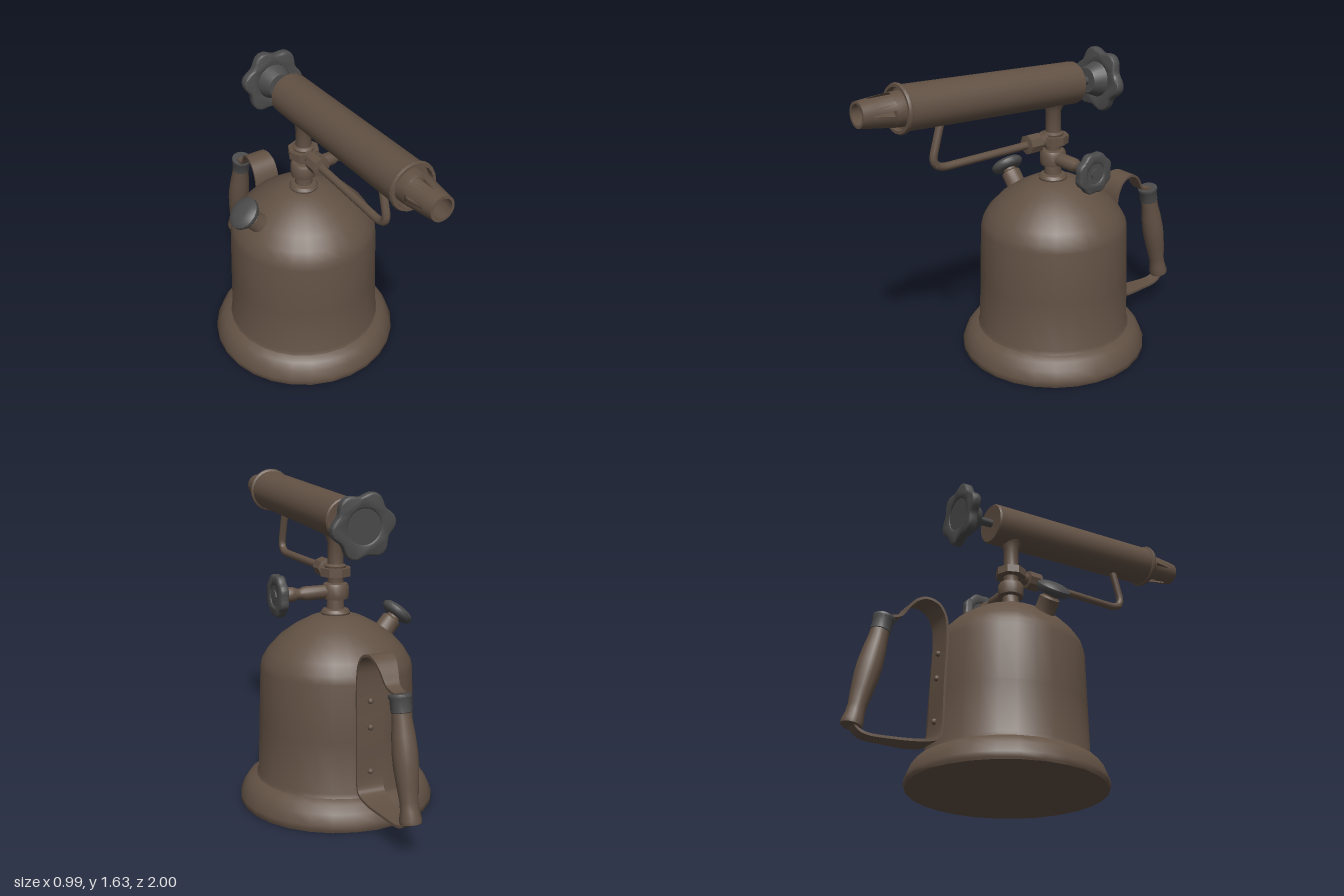
import * as THREE from 'three';
import { toCreasedNormals } from 'three/addons/utils/BufferGeometryUtils.js';

const brown = new THREE.MeshStandardMaterial({ color: 0x625144, side: THREE.DoubleSide });
brown.name = 'aged brass';
const grey = new THREE.MeshStandardMaterial({ color: 0x4b4b4b });
grey.name = 'dark iron';

const TANK_Z = -0.125;
const V = (x, y, z) => new THREE.Vector3(x, y, z);

function add(parent, name, geometry, material = brown, crease = 0.65) {
  const mesh = new THREE.Mesh(toCreasedNormals(geometry, crease), material);
  mesh.name = name;
  parent.add(mesh);
  return mesh;
}

// Turned part: profile of [radius, height] pairs, bottom to top
const turned = (profile, sides = 16) =>
  new THREE.LatheGeometry(profile.map(([r, y]) => new THREE.Vector2(r, y)), sides);

// Group whose local +y runs along a direction
function axisGroup(parent, name, position, direction) {
  const g = new THREE.Group();
  g.name = name;
  g.position.copy(position);
  g.quaternion.setFromUnitVectors(V(0, 1, 0), direction.clone().normalize());
  parent.add(g);
  return g;
}

// Lobed hand wheel lying in the local xz plane, with a grooved centre disc
function handWheel(parent, name, radius, lobes, wave, thickness, groove, phase) {
  const pts = [];
  for (let i = 0; i < lobes * 8; i++) {
    const a = (i / (lobes * 8)) * Math.PI * 2;
    const r = radius - wave - 0.01 + wave * Math.cos(lobes * a);
    pts.push(new THREE.Vector2(r * Math.cos(a + phase), r * Math.sin(a + phase)));
  }
  const shape = new THREE.Shape(pts);
  shape.holes.push(new THREE.Path().absarc(0, 0, groove, 0, Math.PI * 2, true));
  const rim = new THREE.ExtrudeGeometry(shape, {
    depth: thickness - 0.02, bevelThickness: 0.01, bevelSize: 0.01, bevelSegments: 2, curveSegments: 12,
  });
  rim.rotateX(-Math.PI / 2);
  rim.translate(0, 0.01, 0);
  add(parent, name, rim, grey, 0.8);
  const disc = new THREE.CylinderGeometry(groove, groove, thickness - 0.012, 24);
  disc.translate(0, thickness / 2, 0);
  add(parent, name + 'Centre', disc, grey);
}

// Flat strap swept in the yz plane; each point is [z, y, half width]
function strapGeometry(points, thickness, steps) {
  const curve = new THREE.CatmullRomCurve3(points.map(([z, y, w]) => V(w, y, z)), false, 'centripetal');
  const pos = [], index = [];
  for (let i = 0; i <= steps; i++) {
    const p = curve.getPoint(i / steps);
    const t = curve.getTangent(i / steps).setX(0).normalize();
    const ny = (-t.z * thickness) / 2, nz = (t.y * thickness) / 2;
    for (const [sx, sn] of [[-1, -1], [1, -1], [1, 1], [-1, 1]])
      pos.push(sx * p.x, p.y + sn * ny, p.z + sn * nz);
    if (i < steps) for (let k = 0; k < 4; k++) {
      const a = i * 4 + k, b = i * 4 + ((k + 1) % 4);
      index.push(a, b, a + 4, b, b + 4, a + 4);
    }
  }
  const e = steps * 4;
  index.push(0, 2, 1, 0, 3, 2, e, e + 1, e + 2, e, e + 2, e + 3);
  const g = new THREE.BufferGeometry();
  g.setAttribute('position', new THREE.Float32BufferAttribute(pos, 3));
  g.setIndex(index);
  g.computeVertexNormals();
  return g;
}

// Tapered sleeve in four panels, leaving wedge slots between; rows are [radius, y, half gap angle]
function slottedSleeve(rows) {
  const pos = [], index = [], n = 6;
  for (let q = 0; q < 4; q++) {
    const base = pos.length / 3;
    rows.forEach(([r, y, gap], j) => {
      for (let i = 0; i <= n; i++) {
        const a = (q * Math.PI) / 2 + gap + (i / n) * (Math.PI / 2 - 2 * gap);
        pos.push(r * Math.sin(a), y, r * Math.cos(a));
        if (j && i) {
          const d = base + j * (n + 1) + i, c = d - n - 1;
          index.push(c - 1, c, d - 1, c, d, d - 1);
        }
      }
    });
  }
  const g = new THREE.BufferGeometry();
  g.setAttribute('position', new THREE.Float32BufferAttribute(pos, 3));
  g.setIndex(index);
  g.computeVertexNormals();
  return g;
}

export function createModel() {
  const model = new THREE.Group();
  model.name = 'blowtorch';

  // Fuel tank
  const body = new THREE.Group();
  body.name = 'body';
  body.position.z = TANK_Z;
  model.add(body);
  add(body, 'tank', turned([
    [0, 0], [0.49, 0], [0.495, 0.01], [0.495, 0.035], [0.475, 0.085], [0.448, 0.122], [0.41, 0.14], [0.401, 0.16],
    [0.394, 0.42], [0.385, 0.7], [0.376, 0.74], [0.345, 0.792], [0.29, 0.852], [0.21, 0.91],
    [0.13, 0.952], [0.08, 0.966], [0, 0.968],
  ], 28));

  // Vertical stem with collar, valve hub and nut
  const stem = new THREE.Group();
  stem.name = 'stem';
  stem.position.z = -0.115;
  model.add(stem);
  add(stem, 'stemColumn', turned([
    [0.07, 0.955], [0.075, 0.975], [0.065, 0.99], [0.045, 0.995], [0.042, 1.04], [0.065, 1.045],
    [0.068, 1.06], [0.068, 1.105], [0.06, 1.12], [0.04, 1.125], [0.04, 1.155], [0.055, 1.21],
    [0.04, 1.22], [0.04, 1.33], [0.055, 1.36], [0.07, 1.39],
  ]));
  const nut = new THREE.CylinderGeometry(0.08, 0.08, 0.042, 8);
  nut.translate(0, 1.18, 0);
  add(stem, 'stemNut', nut);

  // Side valve arm with its hand wheel
  const valve = axisGroup(model, 'sideValve', V(0, 1.08, -0.115), V(1, 0, 0));
  add(valve, 'valveArm', turned([
    [0.036, 0.04], [0.036, 0.17], [0.027, 0.19], [0.027, 0.205], [0.037, 0.23], [0.039, 0.255],
    [0.03, 0.278], [0.015, 0.28], [0.015, 0.3],
  ]));
  const wheel = axisGroup(valve, 'valveWheelGroup', V(0, 0.285, 0), V(0, 1, 0));
  handWheel(wheel, 'valveWheel', 0.108, 8, 0.004, 0.045, 0.062, Math.PI / 8);
  add(wheel, 'valveWheelNut', turned([[0.03, 0.03], [0.03, 0.046], [0, 0.048]], 8), grey);

  // Burner barrel, tilted slightly upward to the front
  const burner = axisGroup(model, 'burner', V(0, 1.45, -0.245), V(0, 0.06, 1.035));
  add(burner, 'barrel', turned([
    [0, 0.004], [0.1, 0], [0.107, 0.008], [0.107, 1.025], [0.117, 1.03], [0.119, 1.038],
    [0.114, 1.05], [0.1, 1.05], [0.098, 1.02], [0, 1.02],
  ], 24));
  const slots = [[0.083, 1.02, 0], [0.08, 1.085, 0], [0.079, 1.0855, 0.22], [0.068, 1.19, 0.09], [0.067, 1.2, 0], [0.061, 1.248, 0]];
  add(burner, 'nozzle', slottedSleeve(slots));
  add(burner, 'nozzleLining', slottedSleeve(slots.map(([r, y, g]) => [r - 0.013, y, g])));
  add(burner, 'nozzleLip', turned([[0.061, 1.248], [0.048, 1.248]], 24));

  // Rear needle valve: rod, bell hub and lobed knob
  const rod = new THREE.CylinderGeometry(0.022, 0.022, 0.14, 12);
  rod.translate(0, -0.055, 0);
  add(burner, 'needleRod', rod, grey);
  const needle = axisGroup(burner, 'needleKnobGroup', V(0, -0.088, 0), V(0, -1, 0));
  add(needle, 'needleHub', turned([[0, 0], [0.064, 0], [0.07, 0.01], [0.088, 0.062], [0.095, 0.075]], 24), grey);
  const knob = axisGroup(needle, 'needleKnobSeat', V(0, 0.066, 0), V(0, 1, 0));
  handWheel(knob, 'needleKnob', 0.167, 6, 0.014, 0.05, 0.095, 0.15);

  // Fuel pipe looping from the barrel back to the stem
  const path = new THREE.CurvePath();
  const P = [V(0, 1.43, 0.56), V(0, 1.385, 0.572), V(0, 1.26, 0.61), V(0, 1.185, 0.632), V(0, 1.18, 0.54), V(0, 1.178, 0.02)];
  path.add(new THREE.LineCurve3(P[0], P[2]));
  path.add(new THREE.QuadraticBezierCurve3(P[2], P[3], P[4]));
  path.add(new THREE.LineCurve3(P[4], P[5]));
  add(model, 'fuelPipe', new THREE.TubeGeometry(path, 48, 0.02, 10));
  const union = axisGroup(model, 'pipeUnion', V(0, 1.18, -0.02), V(0, 0, 1));
  add(union, 'unionNut', turned([[0.03, 0], [0.05, 0.004], [0.05, 0.078], [0.02, 0.082]], 8));
  add(union, 'unionSleeve', turned([[0, -0.1], [0.032, -0.1], [0.032, 0.01]]));

  // Filler neck and cap on the shoulder
  const filler = axisGroup(model, 'filler', V(-0.22, 0.78, -0.095), V(-0.63, 0.72, 0));
  add(filler, 'fillerNeck', turned([[0.062, 0], [0.06, 0.07], [0.052, 0.085], [0.052, 0.165], [0.035, 0.175], [0.035, 0.195]]));
  add(filler, 'fillerCap', turned([
    [0, 0.185], [0.06, 0.185], [0.08, 0.195], [0.087, 0.208], [0.086, 0.222], [0.07, 0.236], [0.04, 0.243], [0, 0.245],
  ], 20), grey);

  // Handle strap, rivets and turned grip
  const handle = new THREE.Group();
  handle.name = 'handle';
  model.add(handle);
  add(handle, 'strap', strapGeometry([
    [-0.82, 0.735, 0.03], [-0.785, 0.74, 0.032], [-0.745, 0.757, 0.036], [-0.71, 0.81, 0.045], [-0.67, 0.852, 0.055],
    [-0.62, 0.868, 0.062], [-0.565, 0.85, 0.068], [-0.53, 0.8, 0.07], [-0.516, 0.72, 0.07], [-0.52, 0.45, 0.07],
    [-0.527, 0.2, 0.07], [-0.545, 0.165, 0.07], [-0.62, 0.143, 0.066], [-0.75, 0.132, 0.05],
    [-0.89, 0.133, 0.036], [-0.93, 0.155, 0.03], [-0.945, 0.18, 0.03],
  ], 0.013, 72));
  for (const y of [0.62, 0.49, 0.27]) {
    const rivet = add(handle, 'rivet', new THREE.SphereGeometry(0.015, 10, 6));
    rivet.position.set(0, y, -0.528 + (y - 0.45) * 0.02);
  }
  const grip = axisGroup(handle, 'grip', V(0, 0.165, -0.945), V(0, 0.57, 0.125));
  add(grip, 'gripWood', turned([
    [0, 0], [0.05, 0], [0.052, 0.02], [0.044, 0.06], [0.043, 0.1], [0.052, 0.18], [0.059, 0.26],
    [0.06, 0.32], [0.055, 0.4], [0.047, 0.47], [0.046, 0.51],
  ]));
  add(grip, 'gripFerrule', turned([[0.046, 0.5], [0.049, 0.503], [0.05, 0.56], [0.056, 0.572], [0.054, 0.584], [0, 0.586]]), grey);

  return model;
}
